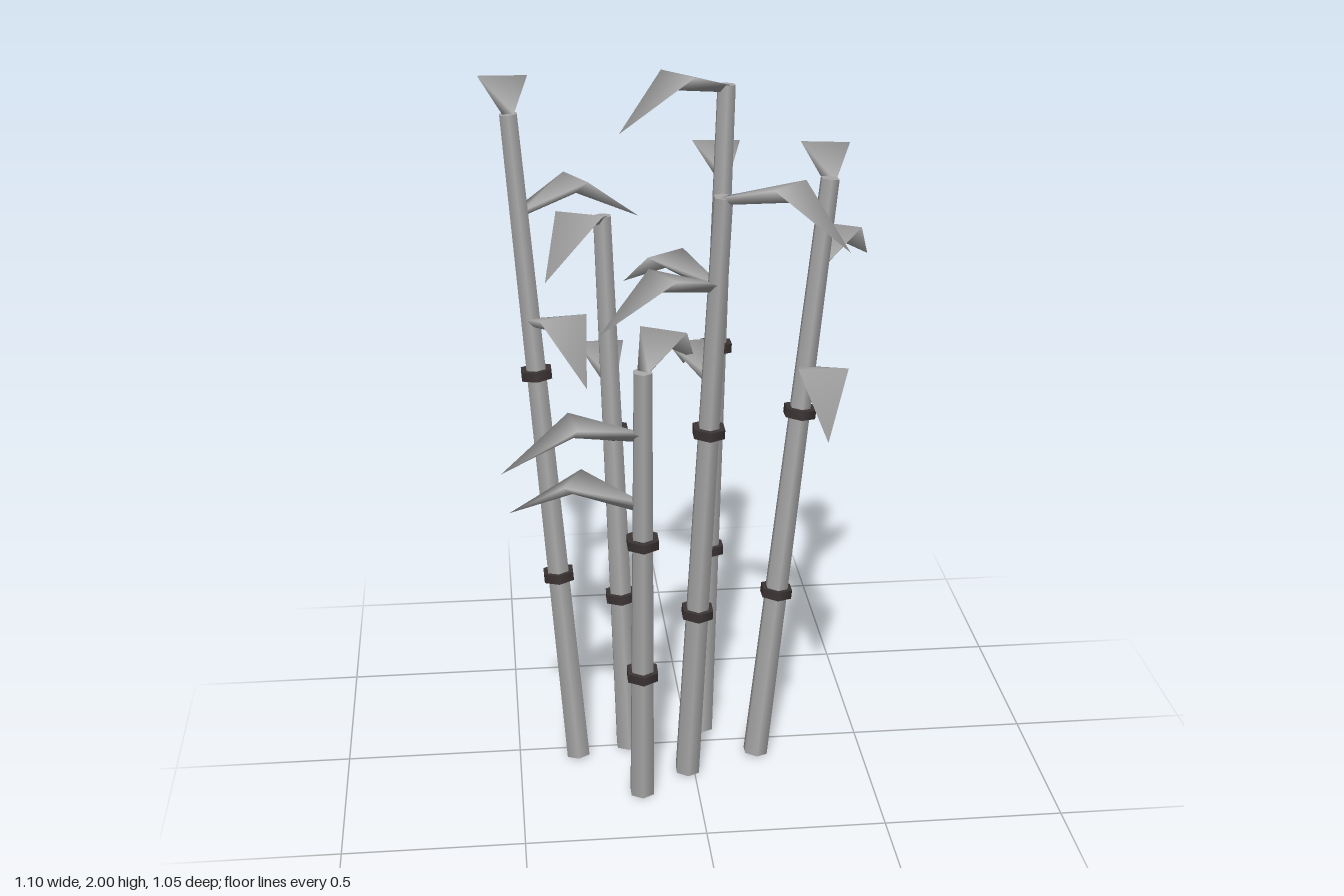
import * as THREE from 'three';

// Each stalk: foot [x, z], top [x, y, z], joint heights, and leaves as [root height, tip x, tip z]
const stalks = [
  { foot: [-0.33, 0.04], top: [-0.475, 1.9, -0.04], joints: [0.575, 1.18],
    leaves: [[1.9, -0.46, -0.43], [1.64, -0.12, -0.2], [1.335, -0.3, 0.34]] },
  { foot: [-0.18, 0.005], top: [-0.23, 1.61, -0.055], joints: [0.485, 0.99],
    leaves: [[1.61, -0.4, 0.29], [1.13, -0.215, -0.42]] },
  { foot: [-0.16, 0.27], top: [-0.155, 1.31, 0.36], joints: [0.395, 0.81],
    leaves: [[1.31, 0.01, 0.07], [1.13, -0.53, 0.4], [0.92, -0.51, 0.18]] },
  { foot: [-0.02, 0.165], top: [0.065, 1.74, 0.25], joints: [0.525, 1.08],
    leaves: [[1.74, 0.35, 0.525], [1.5, -0.27, 0.4], [1.22, 0, -0.14]] },
  { foot: [0.045, -0.075], top: [0.12, 1.94, -0.155], joints: [0.585, 1.2],
    leaves: [[1.94, -0.19, 0.07], [1.68, 0.15, -0.53], [1.37, -0.145, -0.45]] },
  { foot: [0.19, 0.08], top: [0.38, 1.72, 0.025], joints: [0.515, 1.06],
    leaves: [[1.71, 0.45, -0.36], [1.48, 0.55, -0.3], [1.19, 0.325, 0.42]] },
];

// Cylinder running from a to b
function rod(a, b, rBottom, rTop, material, name) {
  const dir = b.clone().sub(a);
  const mesh = new THREE.Mesh(new THREE.CylinderGeometry(rTop, rBottom, dir.length(), 6), material);
  mesh.position.copy(a).add(b).multiplyScalar(0.5);
  mesh.quaternion.setFromUnitVectors(new THREE.Vector3(0, 1, 0), dir.normalize());
  mesh.name = name;
  return mesh;
}

// Drooping leaf: a keeled triangular section that widens to the middle and closes at the tip
function leafGeometry(root, tip) {
  const dir = tip.clone().sub(root).setY(0).normalize();
  const side = dir.clone().cross(new THREE.Vector3(0, 1, 0));
  const middle = root.clone().lerp(tip, 0.5).addScaledVector(side, -0.017).setY(root.y + 0.06);
  const points = [];
  const section = (c, half, keel) => {
    for (const s of [-1, 1]) points.push(c.x + side.x * half * s, c.y, c.z + side.z * half * s);
    points.push(c.x, c.y - keel, c.z);
  };
  section(root, 0.016, 0.022);
  section(middle, 0.068, 0.045);
  points.push(tip.x, tip.y, tip.z);
  const index = [0, 2, 1];
  for (let i = 0; i < 3; i++) {
    const j = (i + 1) % 3;
    index.push(i, j, i + 3, j, j + 3, i + 3, i + 3, j + 3, 6);
  }
  const geometry = new THREE.BufferGeometry();
  geometry.setAttribute('position', new THREE.Float32BufferAttribute(points, 3));
  geometry.setIndex(index);
  geometry.computeVertexNormals();
  return geometry;
}

export function createModel() {
  const grey = new THREE.MeshStandardMaterial({ color: 0xa8a8a8 });
  grey.name = 'plantGrey';
  const dark = new THREE.MeshStandardMaterial({ color: 0x3c3434 });
  dark.name = 'jointDark';

  const model = new THREE.Group();
  model.name = 'bambooClump';
  for (const { foot, top, joints, leaves } of stalks) {
    const stalk = new THREE.Group();
    stalk.name = 'stalk';
    const start = new THREE.Vector3(foot[0], 0, foot[1]);
    const end = new THREE.Vector3(...top);
    const at = (y) => start.clone().lerp(end, y / end.y);

    // Tapering cane
    stalk.add(rod(start, end, 0.037, 0.027, grey, 'cane'));
    // Joint rings
    for (const y of joints) {
      stalk.add(rod(at(y - 0.013), at(y + 0.013), 0.048, 0.048, dark, 'jointRing'));
    }
    // Leaves
    for (const [y, tipX, tipZ] of leaves) {
      const tip = new THREE.Vector3(tipX, y - 0.075, tipZ);
      const leaf = new THREE.Mesh(leafGeometry(at(y), tip), grey);
      leaf.name = 'leaf';
      stalk.add(leaf);
    }
    model.add(stalk);
  }
  return model;
}
